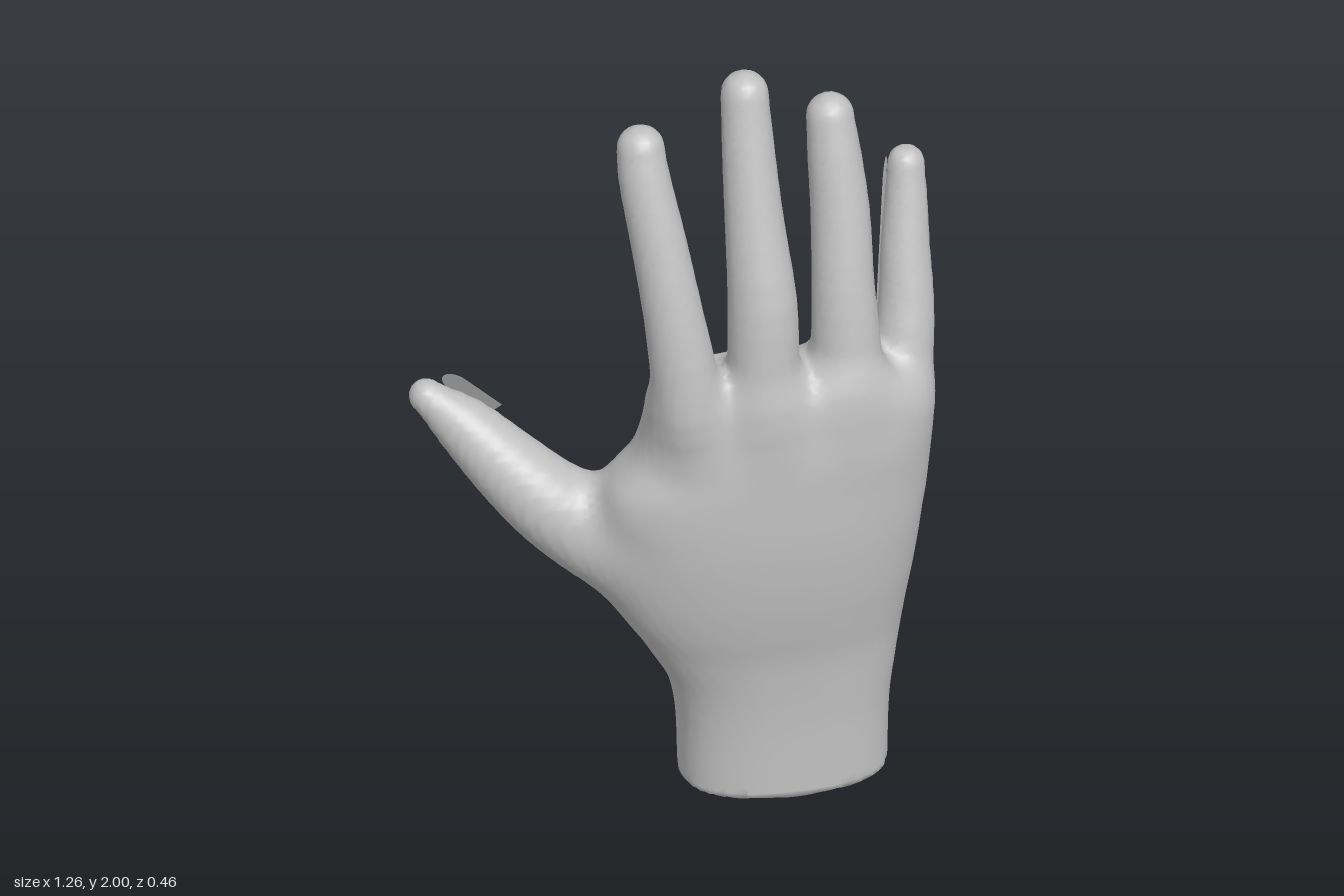
import * as THREE from 'three';

const skin = new THREE.MeshStandardMaterial({ color: 0xc0c0c0, side: THREE.DoubleSide });
skin.name = 'light grey';

// Palm and wrist sections: y, then left, right, back, front
const sectionY = [0, 0.2, 0.3, 0.4, 0.5, 0.6, 0.75, 0.9, 1.0, 1.1, 1.2, 1.3];
const sections = [
  0, 0.505, -0.165, 0.165,
  -0.01, 0.512, -0.17, 0.165,
  -0.034, 0.524, -0.173, 0.17,
  -0.087, 0.537, -0.175, 0.18,
  -0.14, 0.55, -0.175, 0.2,
  -0.17, 0.565, -0.172, 0.217,
  -0.2, 0.582, -0.15, 0.232,
  -0.2, 0.592, -0.11, 0.234,
  -0.132, 0.597, -0.085, 0.231,
  -0.103, 0.602, -0.065, 0.218,
  -0.093, 0.605, -0.03, 0.2,
  -0.085, 0.605, 0.01, 0.18,
];
const sectionAt = new THREE.CubicInterpolant(sectionY, sections, 4, new Float32Array(4));

// Digits: points along the bone with radius, x, y, z, r
const fingers = [
  [[0.04, 0.9, 0.08, 0.07], [-0.003, 1.12, 0.138, 0.083], [-0.016, 1.25, 0.135, 0.081], [-0.04, 1.43, 0.113, 0.072],
    [-0.068, 1.62, 0.067, 0.067], [-0.093, 1.78, 0.02, 0.062], [-0.096, 1.842, 0, 0.058]],
  [[0.19, 0.9, 0.1, 0.07], [0.182, 1.12, 0.137, 0.088], [0.18, 1.25, 0.125, 0.087], [0.182, 1.42, 0.106, 0.084],
    [0.173, 1.62, 0.056, 0.072], [0.168, 1.8, 0.006, 0.064], [0.167, 1.942, -0.035, 0.058]],
  [[0.36, 0.9, 0.08, 0.07], [0.385, 1.12, 0.115, 0.086], [0.39, 1.25, 0.095, 0.085], [0.388, 1.42, 0.068, 0.076],
    [0.391, 1.6, 0.02, 0.072], [0.384, 1.75, -0.019, 0.065], [0.379, 1.842, -0.044, 0.058]],
  [[0.5, 0.85, 0.04, 0.07], [0.532, 1.07, 0.035, 0.075], [0.55, 1.2, 0.008, 0.073], [0.562, 1.3, -0.022, 0.067],
    [0.567, 1.42, -0.058, 0.06], [0.577, 1.55, -0.097, 0.051], [0.581, 1.625, -0.118, 0.045]],
];
const thumb = [[-0.04, 0.62, 0.0, 0.13], [-0.16, 0.705, -0.005, 0.128], [-0.25, 0.765, -0.018, 0.116],
  [-0.325, 0.827, -0.03, 0.105], [-0.415, 0.914, -0.068, 0.091], [-0.505, 1.005, -0.115, 0.072], [-0.593, 1.083, -0.15, 0.042]];

// Smooth chain of tapered segments through the given points
function makeChain(points, steps = 18) {
  const path = new THREE.CatmullRomCurve3(points.map(([x, y, z]) => new THREE.Vector3(x, y, z)));
  const radius = new THREE.SplineCurve(points.map((p, i) => new THREE.Vector2(i, p[3])));
  return Array.from({ length: steps + 1 }, (_, i) => {
    const p = path.getPoint(i / steps);
    return [p.x, p.y, p.z, radius.getPoint(i / steps).y];
  });
}

function chainDistance(chain, x, y, z) {
  let best = Infinity;
  for (let i = 1; i < chain.length; i++) {
    const a = chain[i - 1], b = chain[i];
    const dx = b[0] - a[0], dy = b[1] - a[1], dz = b[2] - a[2];
    const px = x - a[0], py = y - a[1], pz = z - a[2];
    const t = Math.min(1, Math.max(0, (px * dx + py * dy + pz * dz) / (dx * dx + dy * dy + dz * dz)));
    const d = Math.sqrt((px - t * dx) ** 2 + (py - t * dy) ** 2 + (pz - t * dz) ** 2);
    best = Math.min(best, d - a[3] - t * (b[3] - a[3]));
  }
  return best;
}

function blend(a, b, k) {
  const h = Math.max(k - Math.abs(a - b), 0) / k;
  return Math.min(a, b) - h * h * k / 4;
}

function palmDistance(x, y, z) {
  const [l, r, b, f] = sectionAt.evaluate(Math.min(1.3, Math.max(0, y)));
  const px = Math.abs(x - (l + r) / 2), pz = Math.abs(z - (b + f) / 2);
  const q = ((2 * px / (r - l)) ** 2.5 + (2 * pz / (f - b)) ** 2.5) ** 0.4 + 1e-5;
  const side = (Math.hypot(px, pz) + 1e-6) * (1 - 1 / q);
  const top = y - 1.23 + 0.5 * Math.max(0, x - 0.42);
  return -blend(-side, -top, 0.1);
}

const fingerChains = fingers.map((f) => makeChain(f));
const thumbChain = makeChain(thumb);

function handDistance(x, y, z) {
  let d = Infinity;
  for (const chain of fingerChains) d = blend(d, chainDistance(chain, x, y, z), 0.015);
  d = blend(palmDistance(x, y, z), d, 0.06);
  d = blend(d, chainDistance(thumbChain, x, y, z), 0.08);
  return Math.max(d, -y);
}

// Smooth skin: one vertex per grid cell crossed by the surface, joined by quads
function skinGeometry(field, min, size, h) {
  const n = size.map((s) => Math.ceil(s / h) + 1);
  const stride = [1, n[0], n[0] * n[1]];
  const value = new Float32Array(n[0] * n[1] * n[2]);
  const eachCell = (end, fn) => {
    for (let k = 0; k < n[2] - end; k++)
      for (let j = 0; j < n[1] - end; j++)
        for (let i = 0; i < n[0] - end; i++) fn([i, j, k], i + j * stride[1] + k * stride[2]);
  };
  eachCell(0, (c, id) => { value[id] = field(...c.map((v, a) => min[a] + v * h)); });

  const vertexOf = new Int32Array(value.length).fill(-1);
  const positions = [], index = [];
  eachCell(1, (c, id) => {
    const sum = [0, 0, 0];
    let count = 0;
    for (let corner = 0; corner < 8; corner++) {
      const bits = [corner & 1, (corner >> 1) & 1, corner >> 2];
      const from = id + bits[0] + bits[1] * stride[1] + bits[2] * stride[2];
      for (let a = 0; a < 3; a++) {
        const v0 = value[from], v1 = value[from + stride[a]];
        if (bits[a] || (v0 < 0) === (v1 < 0)) continue;
        for (let m = 0; m < 3; m++) sum[m] += bits[m] + (m === a ? v0 / (v0 - v1) : 0);
        count++;
      }
    }
    if (!count) return;
    vertexOf[id] = positions.length / 3;
    const p = c.map((v, a) => min[a] + (v + sum[a] / count) * h);
    // Pull the vertex onto the true surface
    const d = field(...p), e = 0.002;
    const g = p.map((_, a) => (field(...p.map((v, m) => v + (m === a ? e : 0))) - d) / e);
    const g2 = Math.max(0.3, g[0] ** 2 + g[1] ** 2 + g[2] ** 2);
    p.forEach((v, a) => positions.push(v - d * g[a] / g2));
  });
  eachCell(1, (c, id) => {
    for (let a = 0; a < 3; a++) {
      const inside = value[id] < 0;
      if (inside === (value[id + stride[a]] < 0)) continue;
      const u = stride[(a + 1) % 3], v = stride[(a + 2) % 3];
      const q = [id - u - v, id - v, id, id - u].map((cell) => vertexOf[cell]);
      if (!inside) q.reverse();
      index.push(q[0], q[1], q[2], q[0], q[2], q[3]);
    }
  });
  const geometry = new THREE.BufferGeometry();
  geometry.setAttribute('position', new THREE.Float32BufferAttribute(positions, 3));
  geometry.setIndex(index);
  geometry.computeVertexNormals();
  return geometry;
}

// Lay a flat geometry onto the skin, from the front (side 1) or the palm (side -1)
function drape(geometry, side) {
  const p = geometry.attributes.position;
  for (let i = 0; i < p.count; i++) {
    let z = side * 0.3;
    for (let s = 0; s < 40; s++) z -= side * 0.7 * (handDistance(p.getX(i), p.getY(i), z) - 0.006);
    p.setZ(i, z);
  }
  geometry.computeVertexNormals();
  return geometry;
}

// Flat strip from a to b with a rounded far end, facing the given normal
function strip(a, b, facing, width) {
  const from = new THREE.Vector3(...a), up = new THREE.Vector3(...b).sub(from);
  const length = up.length(), w = width / 2;
  const shape = new THREE.Shape();
  shape.moveTo(-w, 0).lineTo(w, 0).lineTo(w, length - w);
  shape.absarc(0, length - w, w, 0, Math.PI, false);
  up.normalize();
  const right = up.clone().cross(new THREE.Vector3(...facing)).normalize();
  const basis = new THREE.Matrix4().makeBasis(right, up, right.clone().cross(up)).setPosition(from);
  return new THREE.ShapeGeometry(shape, 8).applyMatrix4(basis);
}

export function createModel() {
  const group = new THREE.Group();
  group.name = 'hand';
  const add = (name, geometry) => {
    const mesh = new THREE.Mesh(geometry, skin);
    mesh.name = name;
    group.add(mesh);
  };

  add('handSkin', skinGeometry(handDistance, [-0.69, -0.025, -0.27], [1.38, 2.08, 0.56], 0.017));

  // Flat strips beside the outer digits
  add('indexStrip', strip([-0.02, 1.43, 0.035], [-0.092, 1.86, -0.058], [0.25, 0, -1], 0.08));
  add('littleStrip', strip([0.494, 1.25, -0.035], [0.533, 1.64, -0.128], [-0.9, 0, -0.3], 0.09));
  add('thumbStrip', strip([-0.42, 1.0, -0.175], [-0.535, 1.09, -0.215], [0.3, 0.5, -0.8], 0.08));

  // Strips wrapped onto the middle and ring fingers
  for (const [name, x, y, length] of [['middleStrip', 0.175, 1.49, 0.4], ['ringStrip', 0.386, 1.42, 0.38]]) {
    add(name, drape(new THREE.PlaneGeometry(0.09, length, 8, 20).translate(x, y + length / 2, 0), -1));
    add(name + 'End', drape(new THREE.RingGeometry(0.001, 0.045, 16, 4, 0, Math.PI).translate(x, y + length, 0), -1));
  }

  // Round pads with tabs on the palm, and a small patch on the knuckle
  const pads = [[0.2, 1.03, 0, -0.1], [0.37, 0.72, 0.03, -0.1], [-0.05, 0.68, 0.11, 0]];
  for (const [x, y, tabX, tabY] of pads) {
    add('palmPad', drape(new THREE.RingGeometry(0.001, 0.085, 32, 6).translate(x, y, 0), -1));
    add('palmPadTab', drape(new THREE.PlaneGeometry(0.07, 0.07, 6, 6).translate(x + tabX, y + tabY, 0), -1));
  }
  add('knucklePatch', drape(new THREE.PlaneGeometry(0.07, 0.13, 6, 8).translate(0.195, 1.265, 0), 1));
  return group;
}
